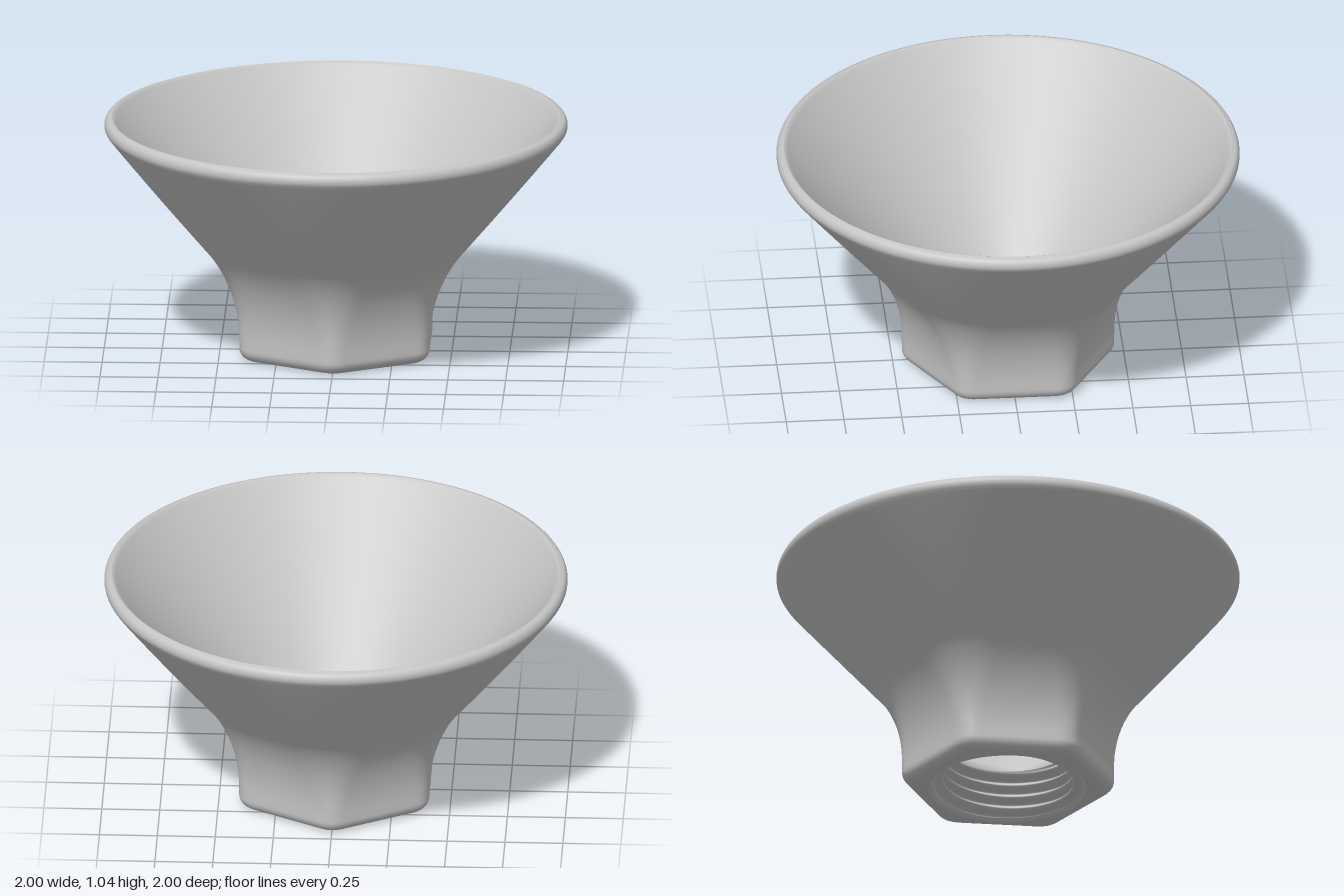
import * as THREE from 'three';
import { mergeVertices } from 'three/addons/utils/BufferGeometryUtils.js';

const SEGMENTS = 144;

// Radius of a rounded hexagon (flat distance 1, corners towards +z and -z).
// hexness 1 is the tight-cornered hexagon, 0 a circle.
function hexRadius(angle, hexness) {
  const round = 1 - 0.78 * hexness;
  const sector = Math.PI / 3;
  const a = ((angle % sector) + sector) % sector;
  const fromFlat = Math.abs(a - sector / 2);
  if (Math.tan(fromFlat) < (1 - round) * Math.tan(Math.PI / 6)) return 1 / Math.cos(fromFlat);
  const centre = (1 - round) / Math.cos(Math.PI / 6);
  const d = Math.PI / 6 - fromFlat;
  return centre * Math.cos(d) + Math.sqrt(round * round - (centre * Math.sin(d)) ** 2);
}

// Lathe a profile, then reshape the radius of every vertex by a rule.
function shapedLathe(profile, rule) {
  const geo = new THREE.LatheGeometry(profile.map((p) => new THREE.Vector2(p.x, p.y)), SEGMENTS);
  const pos = geo.attributes.position;
  for (let i = 0; i < pos.count; i++) {
    const angle = (Math.floor(i / profile.length) % SEGMENTS) / SEGMENTS * Math.PI * 2;
    const p = profile[i % profile.length];
    const r = rule(p, angle);
    pos.setXYZ(i, r * Math.sin(angle), p.y, r * Math.cos(angle));
  }
  geo.deleteAttribute('uv');
  geo.deleteAttribute('normal');
  const merged = mergeVertices(geo, 1e-5);
  merged.computeVertexNormals();
  return merged;
}

const v3 = (r, y, hex = 0) => new THREE.Vector3(r, y, hex);

export function createModel() {
  const group = new THREE.Group();
  group.name = 'flaredNut';
  const grey = new THREE.MeshStandardMaterial({ color: 0xc4c4c4 });
  grey.name = 'grey';
  const add = (name, geo) => {
    const mesh = new THREE.Mesh(geo, grey);
    mesh.name = name;
    group.add(mesh);
  };

  // Outer shell: each point is radius, height and hexness.
  // Flat foot with a rounded edge
  const shell = [v3(0.34, 0, 0), v3(0.35, 0, 0.8), v3(0.355, 0, 1)];
  for (let i = 1; i <= 8; i++) {
    const t = (i / 8) * Math.PI / 2;
    shell.push(v3(0.355 + 0.055 * Math.sin(t), 0.055 - 0.055 * Math.cos(t), 1));
  }
  // Arc sweeping from the upright hexagon out to the cone
  const sweep = 0.702;
  for (let i = 0; i <= 24; i++) {
    const t = (i / 24) * sweep;
    const y = 0.0855 + 0.588 * Math.sin(t);
    const hex = y < 0.12 ? 1 : 1 - 0.6 * (y - 0.12) / 0.345;
    shell.push(v3(0.41 + 0.588 * (1 - Math.cos(t)), y, hex));
  }
  // Cone turning from hexagonal to round
  const start = shell[shell.length - 1];
  for (let i = 1; i <= 24; i++) shell.push(start.clone().lerp(v3(0.985, 0.97), i / 24));
  // Rounded rim
  const rim = new THREE.CatmullRomCurve3([
    v3(0.985, 0.97), v3(0.997, 0.99), v3(0.998, 1.01), v3(0.988, 1.029), v3(0.966, 1.038),
  ]);
  shell.push(...rim.getPoints(16).slice(1));
  add('outerShell', shapedLathe(shell, (p, a) => p.x * hexRadius(a, p.z)));

  // Conical inside with a softened upper lip and a rounded neck
  const inside = [v3(0.966, 1.038), v3(0.958, 1.034), v3(0.951, 1.027), v3(0.945, 1.019)];
  for (let i = 1; i <= 8; i++) inside.push(v3(0.945 - (0.655 * i) / 8, 1.019 - (0.772 * i) / 8));
  inside.push(v3(0.282, 0.236), v3(0.277, 0.224), v3(0.275, 0.21));
  add('innerCone', shapedLathe(inside, (p) => p.x));

  // Threaded bore: a spiral wave that fades out at both ends
  const bore = [];
  for (let i = 0; i <= 72; i++) bore.push(v3(0.3, 0.21 - (0.198 * i) / 72));
  add('threadedBore', shapedLathe(bore, (p, a) => {
    const thread = 0.3 + 0.02 * Math.cos(2 * Math.PI * (p.y / 0.054) - a);
    const top = THREE.MathUtils.smoothstep(p.y, 0.195, 0.21);
    const bottom = 1 - THREE.MathUtils.smoothstep(p.y, 0.012, 0.026);
    return thread + (0.275 - thread) * top + (0.326 - thread) * bottom;
  }));

  // Chamfer at the bore's mouth
  add('boreChamfer', shapedLathe([v3(0.326, 0.012), v3(0.34, 0)], (p) => p.x));

  return group;
}
